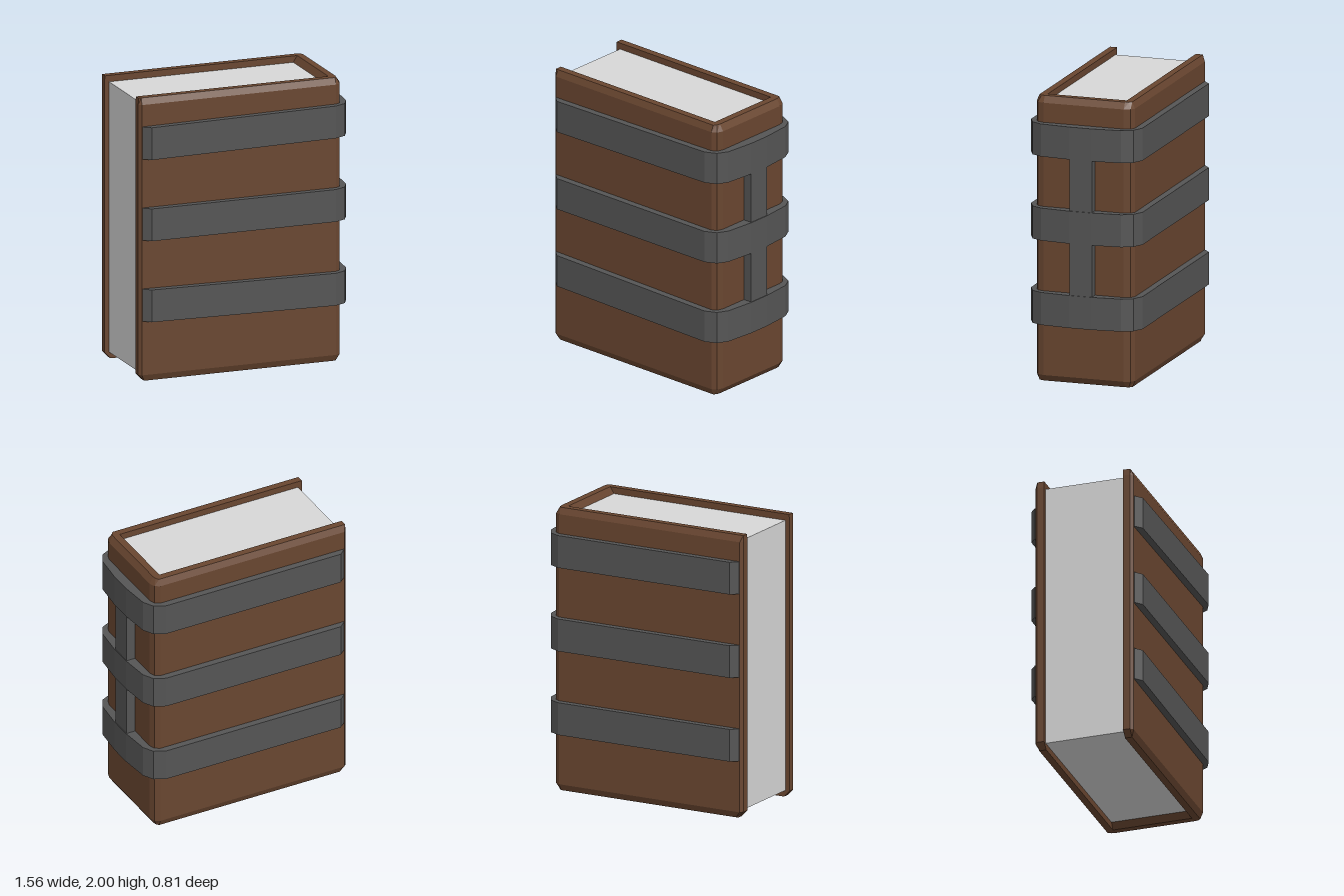
import * as THREE from 'three';

const mat = (name, color) => {
  const m = new THREE.MeshStandardMaterial({ color });
  m.name = name;
  return m;
};

// Complete a half outline (z > 0) with its mirror image across z = 0
const mirrorZ = half => [...half, ...half.map(([x, z]) => [x, -z]).reverse()];

// Join rings of [x, y, z] from bottom to top, close both ends, keep faces flat
function loft(rings) {
  const n = rings[0].length;
  const index = [];
  for (let r = 0; r < rings.length - 1; r++) {
    for (let i = 0; i < n; i++) {
      const j = (i + 1) % n;
      const a = r * n + i, b = r * n + j;
      index.push(a, b, b + n, a, b + n, a + n);
    }
  }
  const cap = ring => THREE.ShapeUtils.triangulateShape(ring.map(([x, , z]) => new THREE.Vector2(x, -z)), []);
  const last = (rings.length - 1) * n;
  for (const [a, b, c] of cap(rings[0])) index.push(a, c, b);
  for (const [a, b, c] of cap(rings[rings.length - 1])) index.push(last + a, last + b, last + c);

  const indexed = new THREE.BufferGeometry();
  indexed.setAttribute('position', new THREE.Float32BufferAttribute(rings.flat(2), 3));
  indexed.setIndex(index);
  const geometry = indexed.toNonIndexed();
  geometry.computeVertexNormals();
  return geometry;
}

// U-shaped cover section: d insets the outside, foreX is the open edge, innerX the spine's inside
function coverRing(y, d, foreX, innerX) {
  return mirrorZ([
    [innerX, 0.285], [foreX, 0.285], [foreX, 0.335], [foreX + 0.02, 0.355 - d],
    [0.66, 0.355 - d], [0.695 - d, 0.335 - d], [0.71 - 1.5 * d, 0.29],
  ]).map(([x, z]) => [x, y, z]);
}

// Strap wrapped round the spine; only its front arm slants by the given drop
function strapGeometry(bottom, height, drop) {
  const outline = mirrorZ([
    [0.7, 0.28], [0.655, 0.345], [-0.76, 0.345], [-0.76, 0.36], [-0.71, 0.403],
    [0.64, 0.403], [0.72, 0.365], [0.76, 0.29], [0.78, 0.08],
  ]);
  const ring = y => outline.map(([x, z]) => {
    const t = z > 0.3 ? Math.max(0, (0.64 - x) / 1.4) : 0;
    return [x, y - drop * t, z];
  });
  return loft([ring(bottom), ring(bottom + height)]);
}

export function createModel() {
  const model = new THREE.Group();
  model.name = 'strappedBook';
  const leather = mat('brown leather', 0x694630);
  const strapGrey = mat('dark grey strap', 0x555555);
  const paper = mat('pale paper', 0xd8d8d8);

  const add = (name, geometry, material, x = 0, y = 0, z = 0) => {
    const mesh = new THREE.Mesh(geometry, material);
    mesh.name = name;
    mesh.position.set(x, y, z);
    model.add(mesh);
  };

  // Cover with bevelled ends
  add('cover', loft([
    coverRing(0, 0.02, -0.74, 0.63),
    coverRing(0.045, 0, -0.783, 0.6),
    coverRing(1.955, 0, -0.783, 0.6),
    coverRing(2, 0.02, -0.78, 0.63),
  ]), leather);

  // Page block, set slightly inside the cover
  add('pages', new THREE.BoxGeometry(1.352, 1.91, 0.572), paper, -0.074, 1, 0);

  // Three straps, the outer two slanting slightly on the front
  [['lowerStrap', 0.408, -0.02], ['middleStrap', 1, 0], ['upperStrap', 1.59, 0.017]]
    .forEach(([name, y, drop]) => add(name, strapGeometry(y, 0.228, drop), strapGrey));

  // Upright strap along the spine
  add('spineStrap', new THREE.BoxGeometry(0.073, 1.2, 0.16), strapGrey, 0.7385, 1.11, -0.003);

  return model;
}
